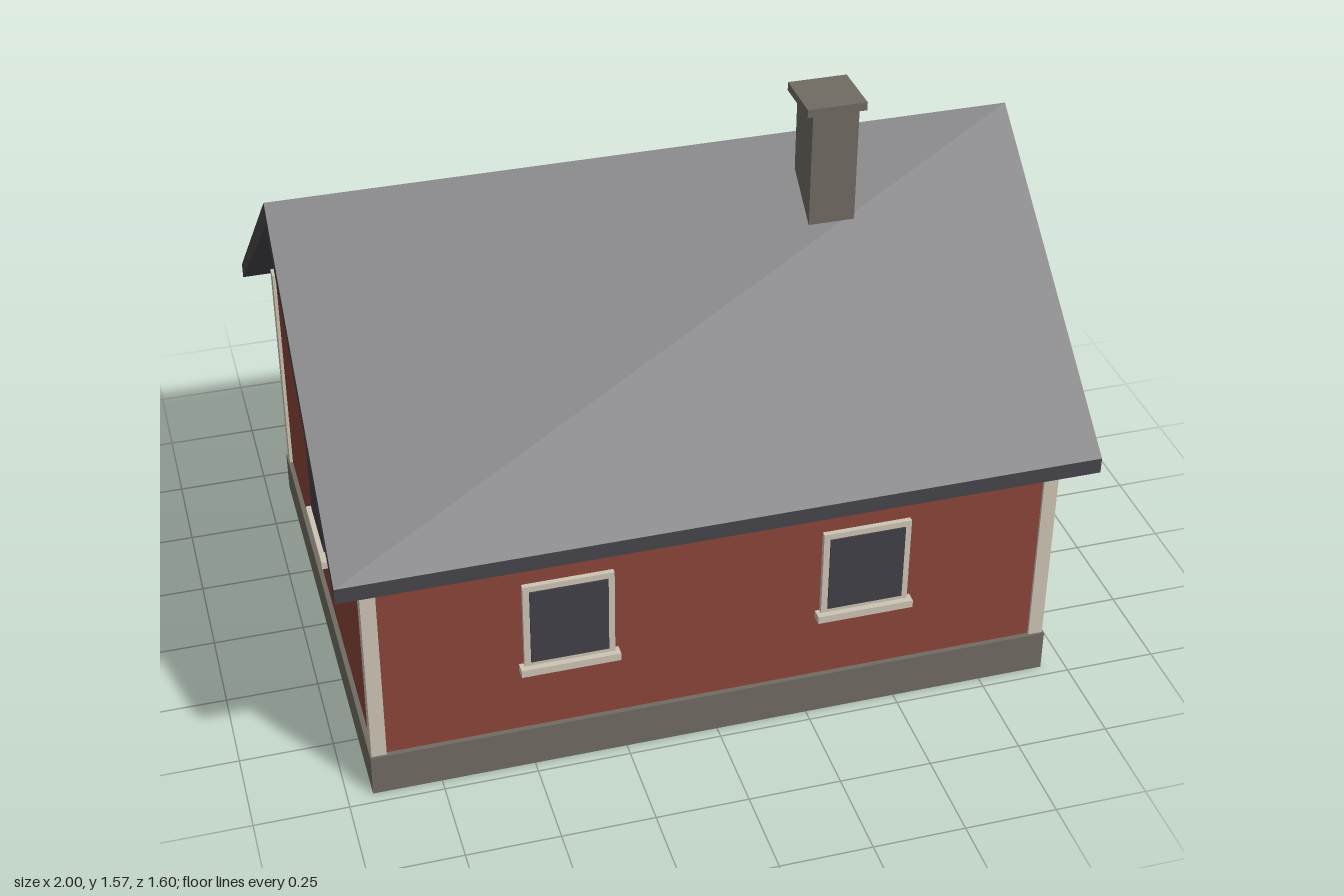
import * as THREE from 'three';

const mat = (name, color) => {
  const m = new THREE.MeshStandardMaterial({ color });
  m.name = name;
  return m;
};

export function createModel() {
  const house = new THREE.Group();
  house.name = 'house';
  const red = mat('red wall', 0x8a4438);
  const cream = mat('cream trim', 0xcdc4b3);
  const stone = mat('grey stone', 0x706b62);
  const slate = mat('dark roof', 0x46444a);
  const pane = mat('window glass', 0x423f48);
  const brown = mat('brown door', 0x4b4030);

  const ZC = 0.02;              // centre of the house body in z
  const WX = 0.92, WZ = 0.683;  // half sizes of the walls

  // Box given by its lower and upper corners
  function box(name, material, [x0, y0, z0], [x1, y1, z1], parent = house) {
    const mesh = new THREE.Mesh(new THREE.BoxGeometry(x1 - x0, y1 - y0, z1 - z0), material);
    mesh.position.set((x0 + x1) / 2, (y0 + y1) / 2, (z0 + z1) / 2);
    mesh.name = name;
    parent.add(mesh);
    return mesh;
  }

  // Profile of [z, y] points extruded along x
  function prism(name, material, points, length) {
    const shape = new THREE.Shape(points.map(([z, y]) => new THREE.Vector2(z, y)));
    const geo = new THREE.ExtrudeGeometry(shape, { depth: length, bevelEnabled: false });
    geo.translate(0, 0, -length / 2).rotateY(-Math.PI / 2);
    const mesh = new THREE.Mesh(geo, material);
    mesh.position.z = ZC;
    mesh.name = name;
    house.add(mesh);
  }

  // Foundation, gabled walls and roof
  box('foundation', stone, [-0.933, 0, ZC - 0.697], [0.933, 0.12, ZC + 0.697]);
  prism('walls', red, [[-WZ, 0.12], [WZ, 0.12], [WZ, 0.785], [0, 1.327], [-WZ, 0.785]], WX * 2);
  prism('roof', slate, [[0.78, 0.708], [0.78, 0.752], [0, 1.39], [-0.78, 0.752], [-0.78, 0.708], [0, 1.326]], 2);

  // Corner boards
  for (const sx of [-1, 1]) for (const sz of [-1, 1]) {
    const x = sx * 0.909, z = ZC + sz * 0.671;
    box('cornerBoard', cream, [x - 0.02, 0.12, z - 0.02], [x + 0.02, 0.776, z + 0.02]);
  }

  // Chimney with cap
  box('chimney', stone, [0.38, 1.1, 0.1], [0.505, 1.55, 0.225]);
  box('chimneyCap', stone, [0.36, 1.547, 0.08], [0.52, 1.57, 0.24]);

  // Places a group on a wall; local +z points out of the wall
  function onWall(name, side, offset) {
    const g = new THREE.Group();
    g.name = name;
    if (side === 'front') g.position.set(offset, 0, ZC + WZ);
    if (side === 'back') g.position.set(offset, 0, ZC - WZ);
    if (side === 'left') g.position.set(WX, 0, offset);
    if (side === 'right') g.position.set(-WX, 0, offset);
    g.rotation.y = { front: 0, back: Math.PI, left: Math.PI / 2, right: -Math.PI / 2 }[side];
    house.add(g);
    return g;
  }

  // Window: frame, glass and sill
  function addWindow(side, offset, y0 = 0.33, y1 = 0.59, w = 0.12) {
    const g = onWall('window', side, offset);
    const t = 0.017;
    box('windowFrame', cream, [-w, y0, -0.01], [w, y1, 0.014], g);
    box('windowGlass', pane, [-w + t, y0 + t, 0.01], [w - t, y1 - t, 0.018], g);
    box('windowSill', cream, [-w - 0.012, y0 - 0.018, -0.01], [w + 0.012, y0 + 0.004, 0.03], g);
  }
  for (const x of [-0.4, 0.4]) addWindow('front', x);
  for (const x of [-0.595, 0.225, 0.6]) addWindow('back', x);
  for (const side of ['left', 'right']) addWindow(side, ZC);
  addWindow('left', ZC, 0.868, 1.057, 0.09);

  // Back door with frame and step
  const door = onWall('backDoor', 'back', -0.22);
  box('doorFrame', cream, [-0.13, 0.12, -0.01], [0.13, 0.63, 0.014], door);
  box('doorPanel', brown, [-0.11, 0.12, 0.01], [0.11, 0.61, 0.018], door);
  box('doorStep', stone, [-0.37, 0, -0.8], [-0.07, 0.073, -0.67]);

  return house;
}
